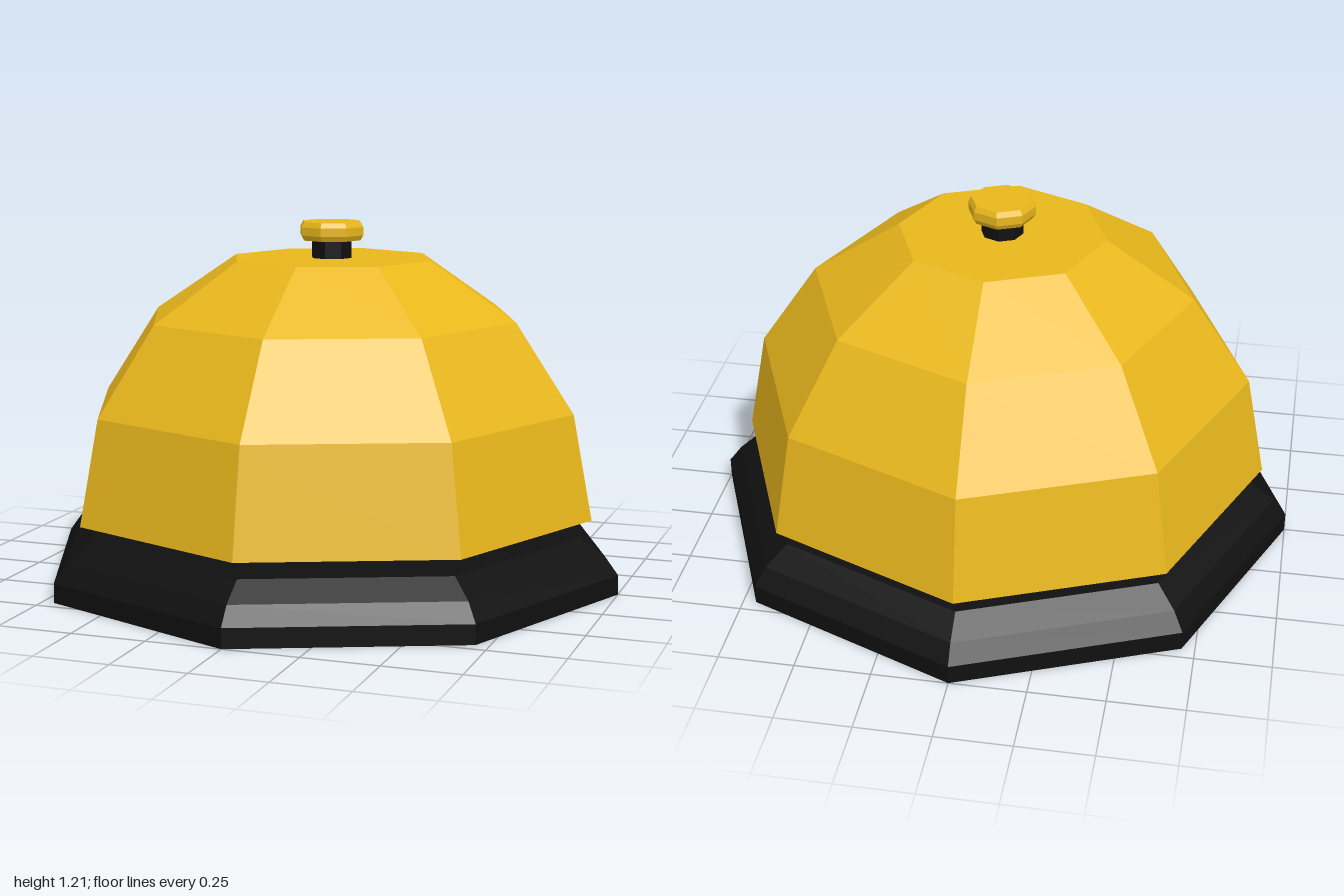
import * as THREE from 'three';

const SIDES = 8;
const gold = new THREE.MeshStandardMaterial({ color: 0xe8b71c, flatShading: true });
const black = new THREE.MeshStandardMaterial({ color: 0x101010, flatShading: true });

// Closed eight-sided solid from [radius, height] pairs, listed bottom to top
function turned(name, profile, material) {
  const closed = [[0, profile[0][1]], ...profile, [0, profile[profile.length - 1][1]]];
  const points = closed.map(([r, y]) => new THREE.Vector2(r, y));
  const mesh = new THREE.Mesh(new THREE.LatheGeometry(points, SIDES), material);
  mesh.name = name;
  return mesh;
}

export function createModel() {
  const model = new THREE.Group();
  model.name = 'deskBell';

  model.add(
    // Foot with a bevelled rim
    turned('base', [[1, 0], [1, 0.065], [0.955, 0.125], [0.87, 0.183]], black),
    // Post running through the dome up to the button
    turned('stem', [[0.07, 0.17], [0.07, 1.16]], black),
    // Faceted dome
    turned('bell', [[0.907, 0.243], [0.84, 0.593], [0.642, 0.888], [0.347, 1.083]], gold),
    // Push button with chamfered edges
    turned('button', [[0.102, 1.143], [0.112, 1.16], [0.112, 1.188], [0.102, 1.205]], gold),
  );

  return model;
}
